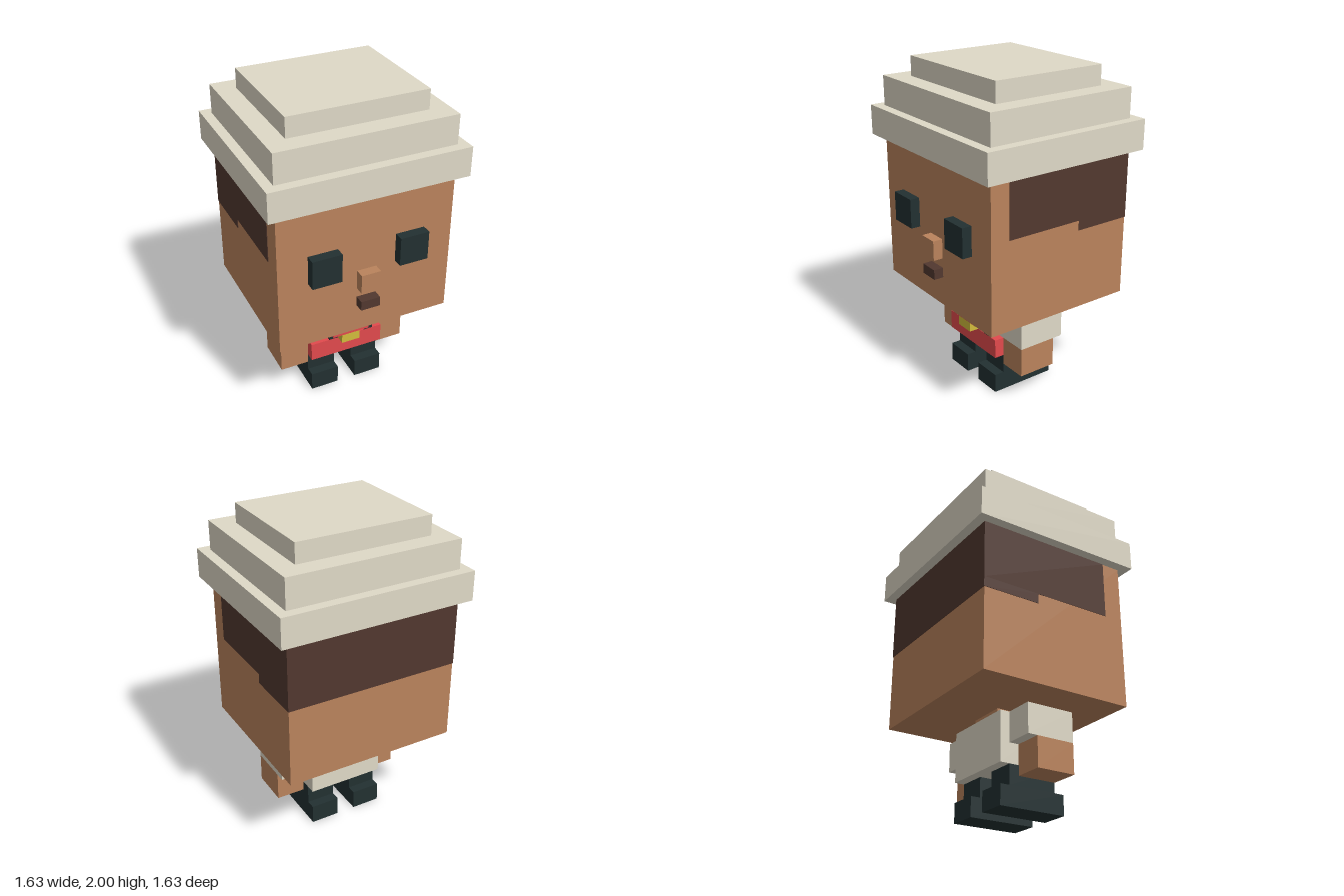
import * as THREE from 'three';

const U = 2 / 33; // one block unit: the figure is 33 units tall

const paint = (name, color) => {
  const m = new THREE.MeshStandardMaterial({ color });
  m.name = name;
  return m;
};

export function createModel() {
  const skin = paint('skin', 0xba835c);
  const hat = paint('cream cloth', 0xdfd9c7);
  const hair = paint('dark brown', 0x52382f);
  const dark = paint('near black', 0x223031);
  const red = paint('red', 0xe24a4d);
  const gold = paint('gold', 0xd2bc3c);

  const figure = new THREE.Group();
  figure.name = 'figure';

  // Box given by its lower and upper limits in block units
  const block = (name, mat, [x0, x1], [y0, y1], [z0, z1]) => {
    const geo = new THREE.BoxGeometry((x1 - x0) * U, (y1 - y0) * U, (z1 - z0) * U);
    const mesh = new THREE.Mesh(geo, mat);
    mesh.position.set((x0 + x1) * U / 2, (y0 + y1) * U / 2, (z0 + z1) * U / 2);
    mesh.name = name;
    figure.add(mesh);
  };
  // The same box on both sides of the body
  const pair = (name, mat, [x0, x1], y, z) => {
    block(name + 'Left', mat, [x0, x1], y, z);
    block(name + 'Right', mat, [-x1, -x0], y, z);
  };

  // Head and stepped hat
  block('head', skin, [-9, 9], [10, 25], [-8, 8]);
  block('hatBrim', hat, [-10, 10], [25, 28], [-9, 9]);
  block('hatMiddle', hat, [-9, 9], [28, 31], [-8, 8]);
  block('hatTop', hat, [-7, 7], [31, 33], [-6, 6]);

  // Hair as thin plates on the sides and back of the head
  const t = 0.05;
  pair('hairSide', hair, [9, 9 + t], [19.1, 25], [-8, 6]);
  pair('hairSideLow', hair, [9, 9 + t], [18.1, 19.1], [-8, -2.1]);
  block('hairBack', hair, [-9 - t, 9 + t], [18.1, 25], [-8 - t, -8]);

  // Face
  pair('eye', dark, [3, 6], [17, 20], [8, 9]);
  block('nose', skin, [-1, 1], [15, 17], [8, 9]);
  block('mouth', hair, [-1, 1], [13, 14], [8, 9]);

  // Neck, torso and arms
  block('neck', skin, [-2, 2], [9, 10], [-2, 2]);
  block('torso', hat, [-4, 4], [4, 9], [-3, 3]);
  pair('sleeve', hat, [4, 7], [6, 9], [-2, 3]);
  pair('arm', skin, [4, 7], [3, 6], [-1, 3]);

  // Chest gear and belt
  block('chestPack', red, [-2, 2], [7, 9], [3, 5]);
  block('belt', red, [-4, 4], [4, 6], [3, 4]);
  block('buckle', gold, [-1, 1], [6, 7], [3, 5]);
  block('pouchLeft', dark, [2, 3], [6, 7], [3, 4]);
  block('pouchRight', dark, [-2, -1], [6, 7], [3, 4]);

  // Legs and boots
  pair('leg', dark, [1, 4], [2, 4], [-2, 3]);
  pair('boot', dark, [1, 4], [0, 2], [-3, 4]);

  // The figure stands turned by an eighth of a circle
  figure.rotation.y = Math.PI / 4;
  const model = new THREE.Group();
  model.name = 'blockFigure';
  model.add(figure);
  return model;
}
